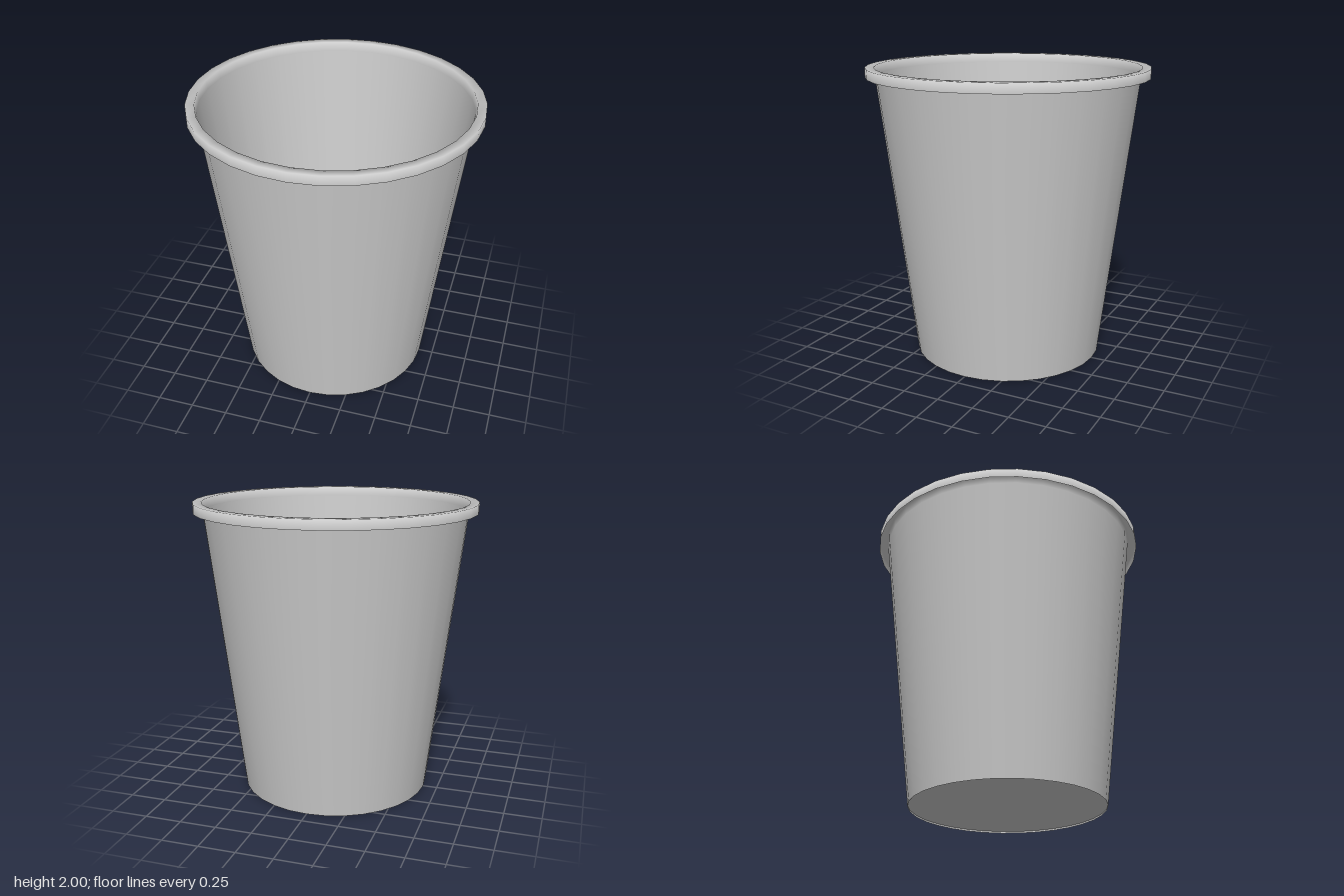
import * as THREE from 'three';

const SIDES = 32;

export function createModel() {
  const cup = new THREE.Group();
  cup.name = 'cup';
  const material = new THREE.MeshStandardMaterial({ color: 0xcccccc, side: THREE.DoubleSide });

  const add = (name, geometry) => {
    const mesh = new THREE.Mesh(geometry, material);
    mesh.name = name;
    cup.add(mesh);
    return mesh;
  };
  const lathe = (profile) =>
    new THREE.LatheGeometry(profile.map(([r, y]) => new THREE.Vector2(r, y)), SIDES);

  // Thin tapered wall
  add('wall', lathe([[0.652, 0], [0.888, 1.936]]));

  // Folded rim, open underneath: outer skirt, top, inner lip
  add('rim', lathe([[0.953, 1.936], [0.953, 2], [0.894, 2], [0.888, 1.936]]));

  // Floor, set just above the bottom edge
  const floor = add('floor', new THREE.CircleGeometry(0.653, SIDES));
  floor.rotation.x = -Math.PI / 2;
  floor.position.y = 0.012;

  return cup;
}
